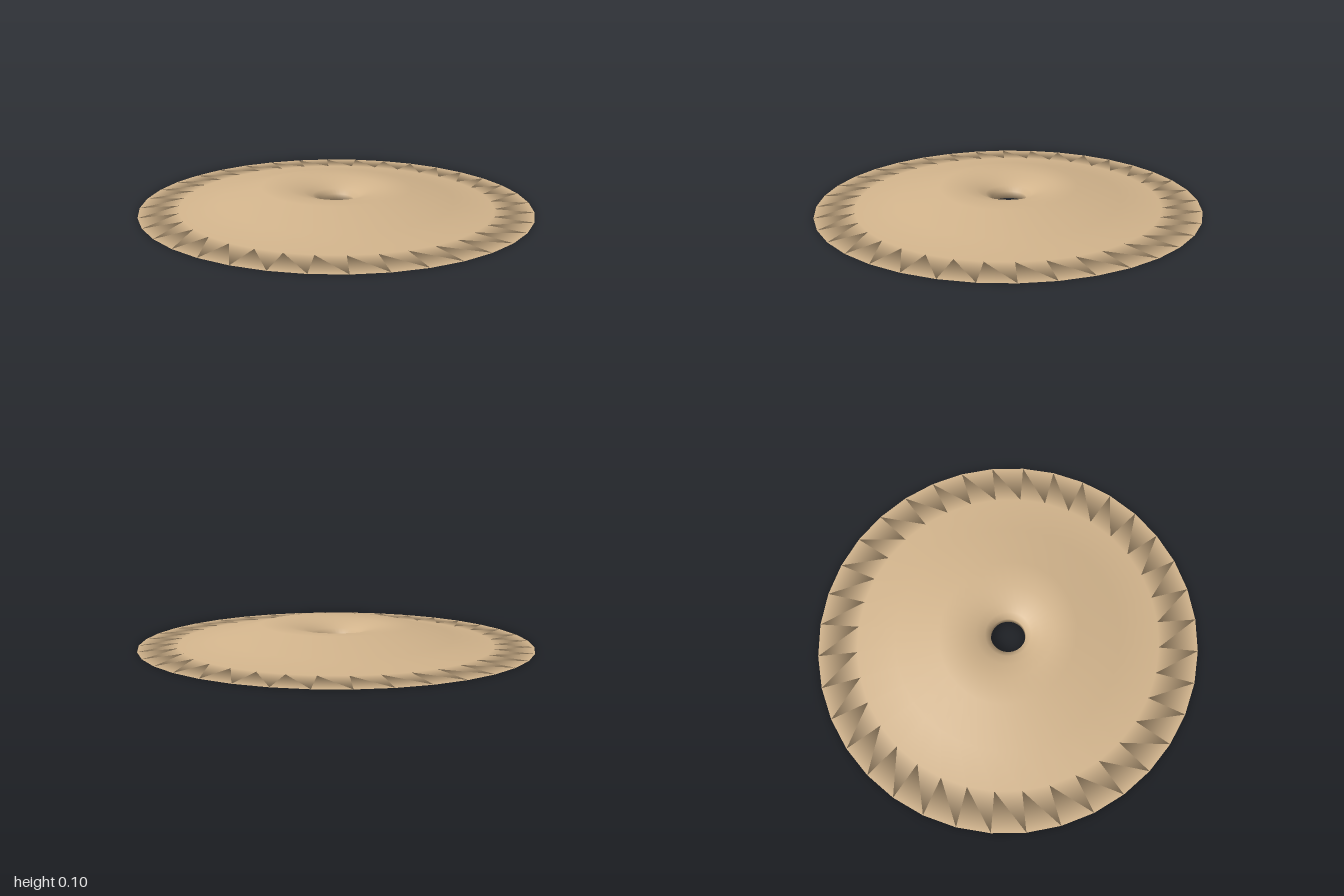
import * as THREE from 'three';
import { mergeVertices } from 'three/addons/utils/BufferGeometryUtils.js';

// Closed cross-section: [radius along x, height, radius along z]
const PROFILE = [
  [0.088, 0, 0.088],     // hole, underside
  [1.0, 0, 0.977],       // outer edge
  [0.8, 0.01, 0.775],    // concave skirt
  [0.6, 0.04, 0.572],
  [0.385, 0.1, 0.348],   // crest
  [0.25, 0.094, 0.235],
  [0.17, 0.078, 0.165],  // lip falling into the hole
  [0.12, 0.057, 0.118],
  [0.09, 0.035, 0.09],
  [0.088, 0, 0.088],     // straight hole wall
];

export function createModel() {
  const group = new THREE.Group();
  group.name = 'piercedDisc';

  const points = PROFILE.map(([r, y]) => new THREE.Vector2(r, y));
  let geometry = new THREE.LatheGeometry(points, 36);

  // Make each ring slightly narrower from front to back
  const pos = geometry.attributes.position;
  for (let i = 0; i < pos.count; i++) {
    const [rx, , rz] = PROFILE[i % PROFILE.length];
    pos.setZ(i, (pos.getZ(i) * rz) / rx);
  }

  // Weld the seams so the whole body is shaded smoothly
  geometry.deleteAttribute('normal');
  geometry.deleteAttribute('uv');
  geometry = mergeVertices(geometry, 1e-4);
  geometry.computeVertexNormals();

  const disc = new THREE.Mesh(geometry, new THREE.MeshStandardMaterial({ color: 0xd2b48c }));
  disc.name = 'disc';
  group.add(disc);
  return group;
}
